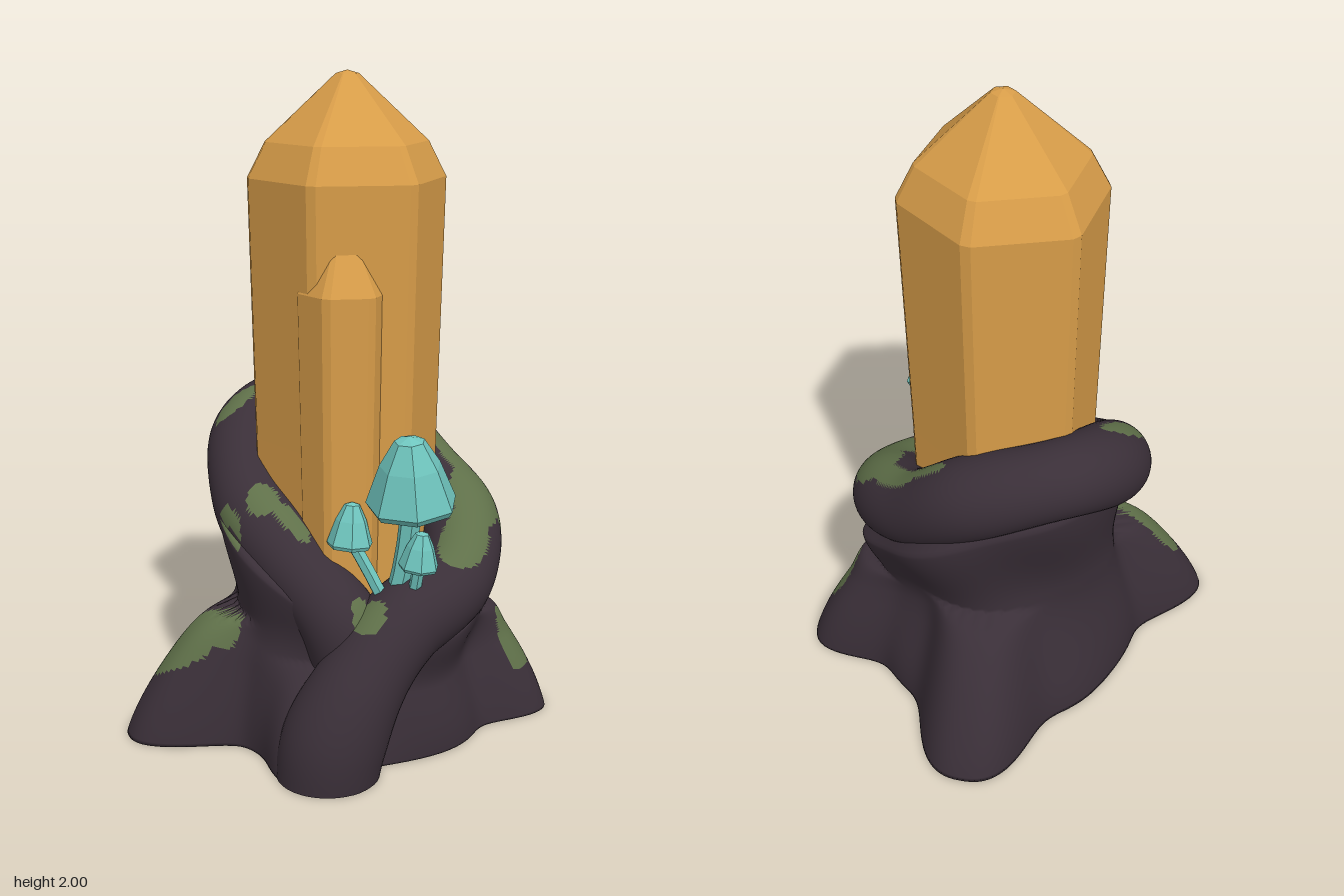
import * as THREE from 'three';
import { mergeVertices } from 'three/addons/utils/BufferGeometryUtils.js';

const { smoothstep } = THREE.MathUtils;

const material = (name, color) => {
  const m = new THREE.MeshStandardMaterial({ color });
  m.name = name;
  return m;
};

// Moss patches seen from above: [x, z, radiusX, radiusZ, turn, lowest y]
const MOSS = [
  [0.22, 0.35, 0.12, 0.07, 0.5, 0.5],
  [0.35, 0.25, 0.13, 0.075, 0.85, 0.55],
  [0.41, 0.1, 0.13, 0.04, 1.45, 0.6],
  [0.39, -0.05, 0.08, 0.028, 1.75, 0.7],
  [-0.155, 0.355, 0.045, 0.055, 0, 0.3],
  [-0.25, -0.03, 0.05, 0.05, 0, 0.55],
  [-0.22, 0.06, 0.03, 0.08, 0.2, 0.55],
  [-0.12, -0.345, 0.08, 0.038, 0, 0.8],
  [-0.42, -0.16, 0.125, 0.07, -0.8, 0.15],
  [-0.37, -0.1, 0.08, 0.045, -1.2, 0.15],
  [0.455, 0.33, 0.06, 0.05, 0, 0.15],
];

function isMossy(p, slope) {
  if (slope < 0.08) return false;
  return MOSS.some(([x, z, rx, rz, turn, low]) => {
    if (p.y < low) return false;
    const dx = p.x - x, dz = p.z - z, c = Math.cos(turn), s = Math.sin(turn);
    return Math.hypot((dx * c - dz * s) / rx, (dx * s + dz * c) / rz) < 1;
  });
}

// Weld, smooth, then sort the faces into bark and moss groups
function barkGeometry(source) {
  source.deleteAttribute('uv');
  source.deleteAttribute('normal');
  const g = mergeVertices(source, 1e-5);
  g.computeVertexNormals();
  const pos = g.attributes.position, index = g.index.array;
  const bark = [], moss = [];
  const t = new THREE.Triangle(), mid = new THREE.Vector3(), n = new THREE.Vector3();
  for (let i = 0; i < index.length; i += 3) {
    const face = [index[i], index[i + 1], index[i + 2]];
    t.setFromAttributeAndIndices(pos, ...face);
    t.getMidpoint(mid);
    t.getNormal(n);
    (isMossy(mid, n.y) ? moss : bark).push(...face);
  }
  g.setIndex([...bark, ...moss]);
  g.addGroup(0, bark.length, 0);
  g.addGroup(bark.length, moss.length, 1);
  return g;
}

// Root lobes: [angle, reach, angular width, height, steepness]
const ROOTS = [
  [Math.atan2(-0.66, -0.25), 0.275, 0.27, 0.385, 0.34],
  [Math.atan2(0.54, -0.44), 0.265, 0.34, 0.41, 0.45],
  [Math.atan2(0.53, 0.375), 0.22, 0.27, 0.36, 0.42],
  [Math.atan2(-0.42, 0.32), 0.11, 0.27, 0.3, 0.6],
];

// Stump trunk: flared foot, waist, and a slanted lip that swells into the coil
function trunkGeometry() {
  const rows = 70;
  const profile = [new THREE.Vector2(0, 0)];
  for (let i = 0; i <= rows; i++) profile.push(new THREE.Vector2(1, i / rows));
  profile.push(new THREE.Vector2(0, 1));
  const g = new THREE.LatheGeometry(profile, 240);
  const p = g.attributes.position;
  for (let i = 0; i < p.count; i++) {
    const x = p.getX(i), z = p.getZ(i), v = p.getY(i);
    const a = Math.atan2(x, z);
    const y = v * (0.67 - 0.26 * Math.cos(a));
    let r = 0.36 + 0.07 * (1 - smoothstep(y, 0, 0.42));
    r += 0.065 * smoothstep(v, 0.5, 0.92) - 0.11 * smoothstep(v, 0.88, 1);
    r += 0.01 * Math.sin(5 * a + 7 * y);
    for (const [angle, reach, width, height, steepness] of ROOTS) {
      const d = Math.abs(Math.atan2(Math.sin(a - angle), Math.cos(a - angle)));
      const rise = Math.max(0, 1 - y / height);
      r += reach * Math.exp(-Math.pow(d / width, 2.6)) * Math.pow(rise, steepness);
    }
    const centre = Math.hypot(x, z) < 0.5;
    const shift = 0.05 + 0.03 * smoothstep(v, 0.4, 0.9);
    p.setXYZ(i, shift + x * r, centre ? v * 0.66 : y, z * r);
  }
  return barkGeometry(g);
}

// Thick root rising from the ground and coiling around the crystal
function coilGeometry() {
  const path = new THREE.CatmullRomCurve3([
    [-0.28, -0.02, 0.315], [-0.26, 0.1, 0.325], [-0.18, 0.26, 0.345], [-0.03, 0.41, 0.35],
    [0.19, 0.5, 0.34], [0.34, 0.61, 0.2], [0.385, 0.71, 0],
    [0.32, 0.85, -0.2], [0.12, 0.92, -0.36], [-0.08, 0.85, -0.33],
    [-0.2, 0.7, -0.16], [-0.2, 0.57, 0.04], [-0.16, 0.42, 0.22], [-0.11, 0.25, 0.25],
  ].map((q) => new THREE.Vector3(...q)));
  const along = 300, around = 44;
  const g = new THREE.TubeGeometry(path, along, 1, around);
  const p = g.attributes.position, v = new THREE.Vector3();
  for (let i = 0; i < p.count; i++) {
    const t = Math.floor(i / (around + 1)) / along;
    const c = path.getPointAt(t);
    const r = 0.122 + 0.005 * Math.sin(t * 40) + 0.028 * (1 - smoothstep(t, 0.04, 0.2));
    v.fromBufferAttribute(p, i).sub(c).multiplyScalar(r).add(c);
    p.setXYZ(i, v.x, t === 0 ? 0 : Math.max(0, v.y), v.z);
  }
  return barkGeometry(g);
}

function facet(g) {
  const flat = g.toNonIndexed();
  flat.computeVertexNormals();
  return flat;
}

// Six-sided crystal with narrow chamfered edges
function crystalGeometry(profile, chamfer) {
  const points = profile.map((q) => new THREE.Vector2(...q));
  const g = new THREE.LatheGeometry(points, 12);
  const p = g.attributes.position;
  for (let i = 0; i < p.count; i++) {
    const side = Math.floor(i / points.length);
    const r = points[i % points.length].x;
    const a = Math.floor(side / 2) * Math.PI / 3 + (side % 2 ? chamfer : -chamfer);
    p.setX(i, 0.96 * r * Math.sin(a));
    p.setZ(i, r * Math.cos(a));
  }
  return facet(g);
}

// Mushroom: pointed faceted cap on a bent stem
function mushroom(name, mat, foot, capBase, radius, height, tilt) {
  const group = new THREE.Group();
  group.name = name;
  const top = new THREE.Vector3(...capBase), base = new THREE.Vector3(...foot);
  const profile = [[0, 0.12], [0.92, 0], [1, 0.08], [0.67, 0.6], [0.33, 0.94], [0, 1]]
    .map(([x, y]) => new THREE.Vector2(x * radius, y * height));
  const cap = new THREE.Mesh(facet(new THREE.LatheGeometry(profile, 7)), mat);
  cap.name = 'mushroomCap';
  cap.position.copy(top);
  cap.rotation.set(tilt[0], 0.3, tilt[1]);
  const bend = base.clone().lerp(top, 0.5).add(new THREE.Vector3(0.01, 0, 0.01));
  const end = top.clone().add(new THREE.Vector3(0, height * 0.2, 0));
  const curve = new THREE.QuadraticBezierCurve3(base, bend, end);
  const stem = new THREE.Mesh(facet(new THREE.TubeGeometry(curve, 4, radius * 0.18 + 0.008, 6)), mat);
  stem.name = 'mushroomStem';
  group.add(cap, stem);
  return group;
}

export function createModel() {
  const model = new THREE.Group();
  model.name = 'crystalStump';
  const amber = material('amberCrystal', 0xd89d49);
  const bark = material('darkBark', 0x3a2f38);
  const moss = material('moss', 0x5f7049);
  const teal = material('tealMushroom', 0x6fc5be);
  const add = (name, geometry, mat, x = 0, y = 0, z = 0) => {
    const mesh = new THREE.Mesh(geometry, mat);
    mesh.name = name;
    mesh.position.set(x, y, z);
    model.add(mesh);
  };

  // Stump
  add('trunk', trunkGeometry(), [bark, moss]);
  add('coiledRoot', coilGeometry(), [bark, moss]);

  // Crystals
  add('mainCrystal', crystalGeometry(
    [[0.28, 0.4], [0.287, 0.9], [0.305, 1.69], [0.25, 1.795], [0.035, 1.99], [0, 2]], 0.05,
  ), amber, 0.065, 0, -0.022);
  add('sideCrystal', crystalGeometry(
    [[0.12, 0.4], [0.137, 1.38], [0.065, 1.51], [0, 1.55]], 0.1,
  ), amber, -0.072, 0, 0.128);

  // Mushrooms
  model.add(
    mushroom('largeMushroom', teal, [-0.03, 0.5, 0.33], [-0.012, 0.775, 0.375], 0.135, 0.225, [0.03, 0.12]),
    mushroom('leftMushroom', teal, [-0.06, 0.46, 0.33], [-0.137, 0.65, 0.245], 0.069, 0.135, [0, -0.1]),
    mushroom('frontMushroom', teal, [-0.02, 0.48, 0.37], [-0.02, 0.605, 0.415], 0.06, 0.115, [0.1, -0.05]),
  );
  return model;
}
